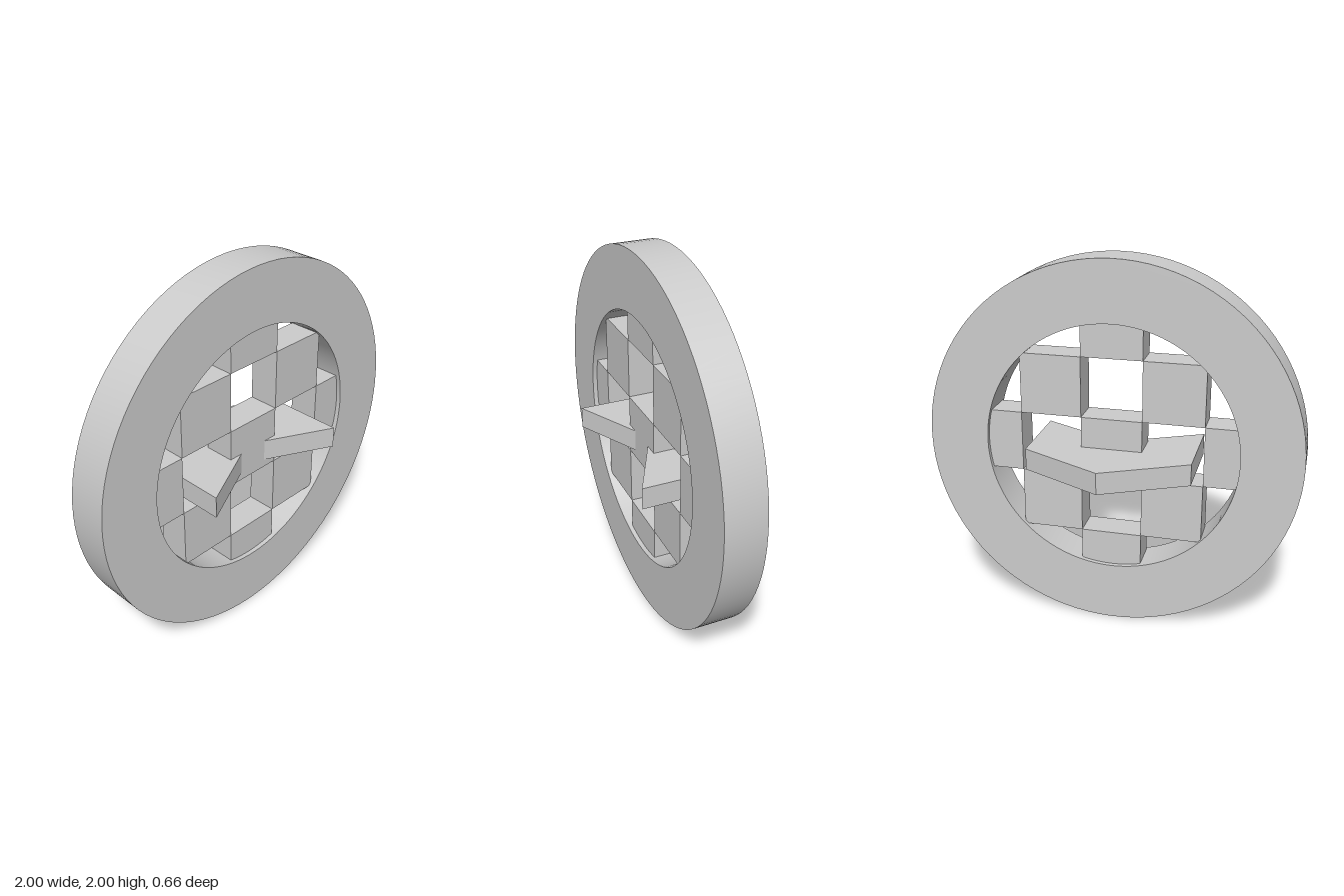
import * as THREE from 'three';
import { toCreasedNormals } from 'three/addons/utils/BufferGeometryUtils.js';

const material = new THREE.MeshStandardMaterial({ color: 0xcccccc });

function addMesh(parent, name, geometry, x, y, z) {
  const mesh = new THREE.Mesh(geometry, material);
  mesh.name = name;
  mesh.position.set(x, y, z);
  parent.add(mesh);
  return mesh;
}

// Flat-faced annulus with smooth outer and inner walls
function ringGeometry(outer, inner, depth) {
  const shape = new THREE.Shape().absarc(0, 0, outer, 0, Math.PI * 2, false);
  shape.holes.push(new THREE.Path().absarc(0, 0, inner, 0, Math.PI * 2, true));
  const geometry = new THREE.ExtrudeGeometry(shape, { depth, bevelEnabled: false, curveSegments: 48 });
  return toCreasedNormals(geometry, 0.6);
}

// Arrow-shaped plate, outline in x/z, thickness running downward
function chevronGeometry(thickness) {
  const outline = [[0, -0.333], [0.44, -0.113], [0.44, 0.327], [0, 0.107], [-0.44, 0.327], [-0.44, -0.113]];
  const shape = new THREE.Shape(outline.map(([x, z]) => new THREE.Vector2(x, z)));
  const geometry = new THREE.ExtrudeGeometry(shape, { depth: thickness, bevelEnabled: false });
  return geometry.rotateX(Math.PI / 2);
}

export function createModel() {
  const model = new THREE.Group();
  model.name = 'checkeredWheel';
  const centreY = 1;
  const midZ = 0.067;

  addMesh(model, 'outerRing', ringGeometry(1, 0.677, 0.216), 0, centreY, midZ - 0.108);

  // Checkerboard of blocks; the outermost ones end inside the ring
  const blocks = new THREE.Group();
  blocks.name = 'checkerBlocks';
  model.add(blocks);
  const size = 0.326;
  const edge = 0.21;
  const edgeCentre = size * 1.5 + edge / 2;
  const place = (i) => (Math.abs(i) === 2 ? Math.sign(i) * edgeCentre : i * size);
  const span = (i) => (Math.abs(i) === 2 ? edge : size);
  for (let i = -2; i <= 2; i++) {
    for (let j = -2; j <= 2; j++) {
      if ((i + j) % 2 !== 0 || Math.abs(i) + Math.abs(j) > 2) continue;
      const box = new THREE.BoxGeometry(span(i), span(j), 0.166);
      addMesh(blocks, 'checkerBlock', box, place(i), centreY + 0.003 + place(j), midZ);
    }
  }

  // Chevron plate passing through the central block
  addMesh(model, 'chevronPlate', chevronGeometry(0.117), 0, centreY, 0);

  return model;
}
